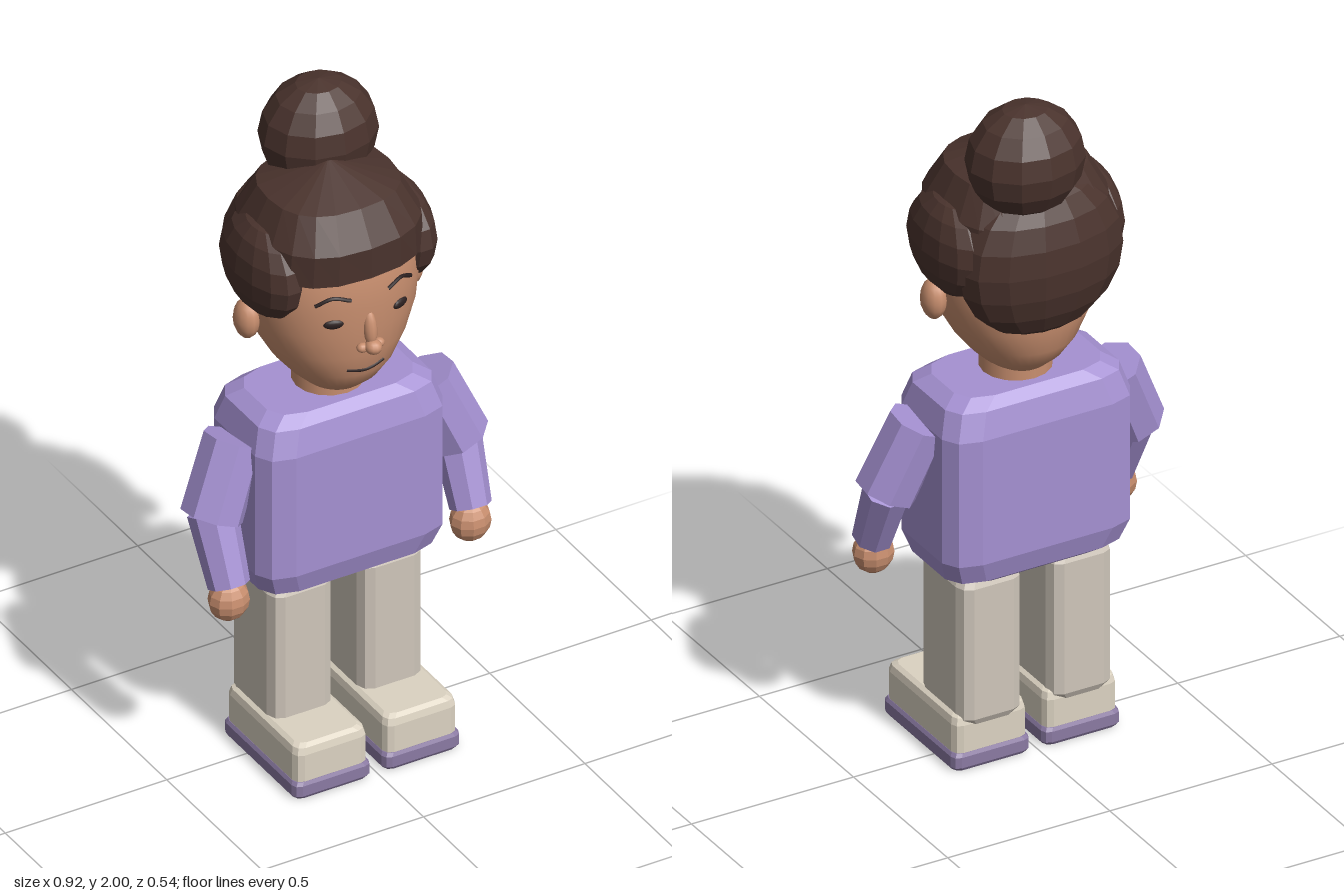
import * as THREE from 'three';

const mat = (color, flatShading = true) => new THREE.MeshStandardMaterial({ color, flatShading });
const M = {
  skin: mat(0xc98f6f, false), hand: mat(0xc98f6f), hair: mat(0x4a332d), shirt: mat(0xa591d2),
  pants: mat(0xcfc6ba), shoe: mat(0xdcd3c2), sole: mat(0x8b7aa3), dark: mat(0x2c2020, false),
};

function add(parent, name, geometry, material, x = 0, y = 0, z = 0) {
  const mesh = new THREE.Mesh(geometry, material);
  mesh.name = name;
  mesh.position.set(x, y, z);
  parent.add(mesh);
  return mesh;
}

// Skin horizontal cross-sections, listed bottom to top, and cap both ends.
function loft(rings) {
  const n = rings[0].length, pos = [], idx = [];
  rings.forEach(r => r.forEach(p => pos.push(...p)));
  for (let i = 0; i < rings.length - 1; i++) {
    for (let j = 0; j < n; j++) {
      const k = (j + 1) % n, a = i * n + j, b = i * n + k;
      idx.push(a, a + n, b + n, a, b + n, b);
    }
  }
  const centre = r => [0, 1, 2].map(c => r.reduce((s, p) => s + p[c], 0) / n);
  pos.push(...centre(rings[0]), ...centre(rings[rings.length - 1]));
  const bottom = rings.length * n, last = bottom - n;
  for (let j = 0; j < n; j++) {
    const k = (j + 1) % n;
    idx.push(bottom, j, k, bottom + 1, last + k, last + j);
  }
  const g = new THREE.BufferGeometry();
  g.setAttribute('position', new THREE.Float32BufferAttribute(pos, 3));
  g.setIndex(idx);
  g.computeVertexNormals();
  return g;
}

// Soft block: sections [y, halfWidth, halfDepth] with bevelled corners.
function block(sections, cx, cz) {
  return loft(sections.map(([y, w, d]) => {
    const ring = [];
    for (let q = 0; q < 4; q++) {
      const sx = q === 0 || q === 3 ? 1 : -1, sz = q < 2 ? 1 : -1;
      for (let s = 0; s < 3; s++) {
        const a = (q + s / 2) * Math.PI / 2;
        ring.push([sx * (w - cx) + Math.cos(a) * cx, y, sz * (d - cz) + Math.sin(a) * cz]);
      }
    }
    return ring;
  }));
}

// Superelliptic form: sections [y, halfWidth, halfDepth], centred at depth cz.
function oval(sections, n, power, cz) {
  const f = v => Math.sign(v) * Math.abs(v) ** (2 / power);
  return loft(sections.map(([y, w, d]) => Array.from({ length: n }, (_, j) => {
    const a = j / n * Math.PI * 2;
    return [w * f(Math.cos(a)), y, cz + d * f(Math.sin(a))];
  })));
}

const ball = (rx, ry, rz, ws = 12, hs = 8) => new THREE.SphereGeometry(1, ws, hs).scale(rx, ry, rz);

// Tapered eight-sided segment between two points.
function limb(parent, name, from, to, r0, r1, material) {
  const a = new THREE.Vector3(...from), b = new THREE.Vector3(...to), dir = a.clone().sub(b);
  const g = new THREE.CylinderGeometry(r0, r1, dir.length(), 8).rotateY(Math.PI / 8);
  const mesh = add(parent, name, g, material);
  mesh.position.copy(a).add(b).multiplyScalar(0.5);
  mesh.quaternion.setFromUnitVectors(new THREE.Vector3(0, 1, 0), dir.normalize());
}

const HEAD = [
  [1.14, 0.05, 0.06], [1.16, 0.085, 0.11], [1.2, 0.125, 0.155], [1.25, 0.165, 0.185], [1.32, 0.205, 0.2],
  [1.4, 0.233, 0.209], [1.48, 0.243, 0.212], [1.58, 0.24, 0.209], [1.66, 0.2, 0.18], [1.72, 0.1, 0.1],
];
const HEAD_POWER = 2.1, HEAD_Z = 0.01;

// Depth of the face surface at a given x and y.
function faceZ(x, y) {
  const i = HEAD.findIndex(s => s[0] > y), a = HEAD[i - 1], b = HEAD[i];
  const t = (y - a[0]) / (b[0] - a[0]);
  const w = a[1] + (b[1] - a[1]) * t, d = a[2] + (b[2] - a[2]) * t;
  return HEAD_Z + d * (1 - Math.abs(x / w) ** HEAD_POWER) ** (1 / HEAD_POWER);
}

// Thin line drawn on the face through a few [x, y] points.
function faceLine(parent, name, points, r) {
  const flat = new THREE.CatmullRomCurve3(points.map(([x, y]) => new THREE.Vector3(x, y, 0)));
  const curve = new THREE.CatmullRomCurve3(flat.getPoints(10).map(p => p.setZ(faceZ(p.x, p.y))));
  add(parent, name, new THREE.TubeGeometry(curve, 16, r, 6), M.dark);
}

function buildHead() {
  const head = new THREE.Group();
  head.name = 'head';
  add(head, 'neck', new THREE.CylinderGeometry(0.1, 0.1, 0.14, 16), M.skin, 0, 1.15, 0);
  add(head, 'face', oval(HEAD, 40, HEAD_POWER, HEAD_Z), M.skin);
  for (const s of [-1, 1]) {
    add(head, 'ear', ball(0.035, 0.06, 0.043), M.skin, s * 0.253, 1.402, 0);
    const eye = add(head, 'eye', ball(0.028, 0.014, 0.008), M.dark, s * 0.103, 1.446, faceZ(0.103, 1.446));
    eye.rotation.y = s * 0.35;
    faceLine(head, 'eyebrow', [[s * 0.148, 1.507], [s * 0.105, 1.529], [s * 0.057, 1.515]], 0.006);
    add(head, 'nostril', ball(0.017, 0.014, 0.015), M.skin, s * 0.025, 1.357, 0.222);
  }
  // Nose
  const bridge = add(head, 'noseBridge', ball(0.019, 0.055, 0.02), M.skin, 0, 1.41, 0.22);
  bridge.rotation.x = -0.15;
  add(head, 'noseTip', ball(0.024, 0.021, 0.025), M.skin, 0, 1.36, 0.237);
  faceLine(head, 'mouth', [[-0.057, 1.277], [0, 1.266], [0.057, 1.277]], 0.0045);
  return head;
}

function buildHair() {
  const hair = new THREE.Group();
  hair.name = 'hair';
  const cap = [[1.575, 0.245, 0.228], [1.67, 0.238, 0.23], [1.765, 0.188, 0.172], [1.83, 0.003, 0.003]];
  add(hair, 'hairCap', oval(cap, 20, 2.5, 0), M.hair);
  add(hair, 'backHair', ball(0.248, 0.24, 0.132, 14, 10), M.hair, 0, 1.535, -0.13);
  for (const s of [-1, 1])
    add(hair, 'sideHair', ball(0.085, 0.145, 0.175, 14, 8), M.hair, s * 0.205, 1.56, 0);
  add(hair, 'bun', ball(0.168, 0.163, 0.146), M.hair, 0.043, 1.837, -0.125);
  return hair;
}

// Arm on side s: sleeve in two segments and a round hand
function buildArm(s) {
  const arm = new THREE.Group();
  arm.name = s > 0 ? 'leftArm' : 'rightArm';
  limb(arm, 'upperSleeve', [s * 0.295, 1.035, 0.005], [s * 0.382, 0.83, 0.035], 0.085, 0.088, M.shirt);
  limb(arm, 'lowerSleeve', [s * 0.377, 0.84, 0.03], [s * 0.374, 0.65, 0.113], 0.069, 0.058, M.shirt);
  add(arm, 'hand', ball(0.059, 0.062, 0.052, 10, 8), M.hand, s * 0.374, 0.604, 0.112);
  return arm;
}

// Leg on side s: trouser leg, shoe and sole
function buildLeg(s) {
  const leg = new THREE.Group();
  leg.name = s > 0 ? 'leftLeg' : 'rightLeg';
  const trouser = [[0.13, 0.085, 0.11], [0.15, 0.096, 0.12], [0.55, 0.096, 0.12], [0.575, 0.085, 0.11]];
  add(leg, 'trouserLeg', block(trouser, 0.035, 0.04), M.pants, s * 0.139, 0, -0.005);
  const upper = [[0.03, 0.112, 0.188], [0.135, 0.112, 0.188], [0.155, 0.107, 0.183], [0.163, 0.095, 0.17]];
  add(leg, 'shoe', block(upper, 0.025, 0.025), M.shoe, s * 0.139, 0, 0.073);
  const sole = [[0, 0.112, 0.188], [0.01, 0.119, 0.194], [0.042, 0.119, 0.194], [0.052, 0.113, 0.189]];
  add(leg, 'sole', block(sole, 0.022, 0.022), M.sole, s * 0.139, 0, 0.073);
  return leg;
}

export function createModel() {
  const model = new THREE.Group();
  model.name = 'person';
  const torso = [
    [0.565, 0.235, 0.125], [0.585, 0.268, 0.152], [0.65, 0.29, 0.172],
    [1.03, 0.29, 0.172], [1.105, 0.268, 0.152], [1.132, 0.225, 0.125],
  ];
  add(model, 'torso', block(torso, 0.09, 0.065), M.shirt);
  model.add(buildHead(), buildHair());
  for (const s of [-1, 1]) model.add(buildArm(s), buildLeg(s));
  return model;
}
